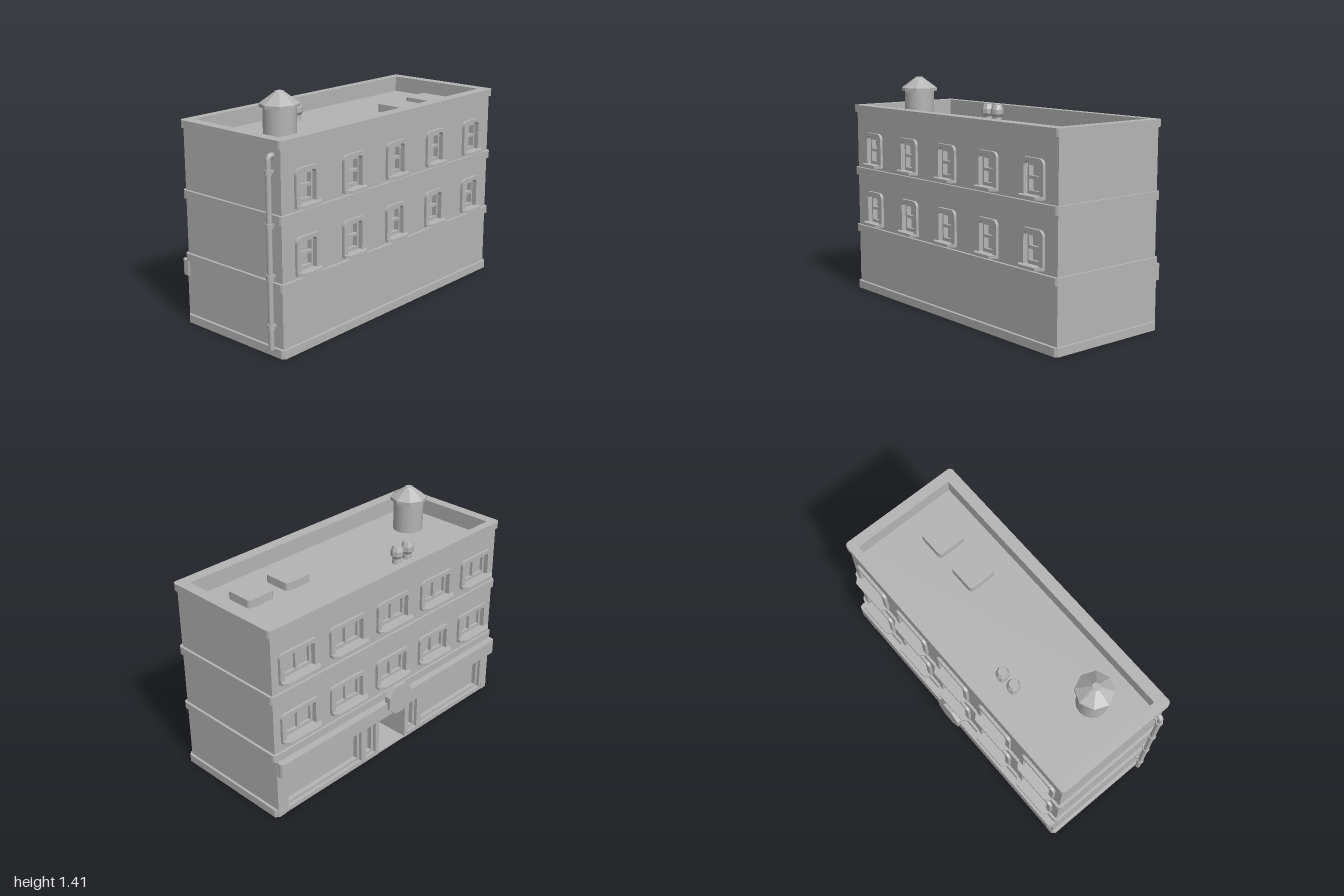
import * as THREE from 'three';

const CX = 0.018;                                   // middle of the building
const BODY = [-0.943, 0.98, -0.374, 0.396];         // x0, x1, z0, z1
const BAND = [-0.96, 0.996, -0.39, 0.415];
const ROOF = [-0.895, 0.928, -0.337, 0.342];
const WINDOW_X = [-0.75, -0.366, 0.018, 0.402, 0.786];
const DOOR = 0.12, ROOF_Y = 1.13;

export function createModel() {
  const model = new THREE.Group();
  const grey = new THREE.MeshStandardMaterial({ color: 0xb4b4b4 });
  grey.name = 'stone grey';
  const facet = grey;

  const add = (name, geo, parent = model) => {
    const m = new THREE.Mesh(geo, facet);
    m.name = name;
    parent.add(m);
    return m;
  };
  const flat = g => { const f = g.toNonIndexed(); f.computeVertexNormals(); return f; };
  const box = (name, x0, x1, y0, y1, z0, z1, parent) =>
    add(name, new THREE.BoxGeometry(x1 - x0, y1 - y0, z1 - z0)
      .translate((x0 + x1) / 2, (y0 + y1) / 2, (z0 + z1) / 2), parent);
  const poly = pts => new THREE.Shape(pts.map(p => new THREE.Vector2(...p)));
  const rect = (x0, x1, y0, y1) => poly([[x0, y0], [x1, y0], [x1, y1], [x0, y1]]);
  // rectangle with separate radii for the bottom and top corners
  const rounded = (x0, x1, y0, y1, rt, rb = rt) => {
    const s = new THREE.Shape(), h = Math.PI / 2;
    s.absarc(x0 + rb, y0 + rb, rb, 2 * h, 3 * h);
    s.absarc(x1 - rb, y0 + rb, rb, 3 * h, 4 * h);
    s.absarc(x1 - rt, y1 - rt, rt, 0, h);
    s.absarc(x0 + rt, y1 - rt, rt, h, 2 * h);
    s.closePath();
    return s;
  };
  const cut = (shape, ...holes) => { shape.holes.push(...holes); return shape; };
  const upright = (shape, z0, z1) =>
    new THREE.ExtrudeGeometry(shape, { depth: z1 - z0, bevelEnabled: false, curveSegments: 5 }).translate(0, 0, z0);
  // floor-plan shapes use (x, -z)
  const plan = (shape, y0, y1) =>
    new THREE.ExtrudeGeometry(shape, { depth: y1 - y0, bevelEnabled: false, curveSegments: 5 })
      .rotateX(-Math.PI / 2).translate(0, y0, 0);
  const planRect = ([x0, x1, z0, z1], r = 0) =>
    r ? rounded(x0, x1, -z1, -z0, r) : rect(x0, x1, -z1, -z0);

  // Ground storey with the deep open doorway
  const [bx0, bx1, , bz1] = BODY, [, , rz0, rz1] = ROOF;
  add('groundStorey', plan(poly([
    [bx0, -rz1], [bx1, -rz1], [bx1, -rz0], [CX + DOOR, -rz0], [CX + DOOR, -0.28],
    [CX - DOOR, -0.28], [CX - DOOR, -rz0], [bx0, -rz0]]), 0, 0.29));
  box('doorwayFloor', CX - DOOR, CX + DOOR, 0, 0.012, -0.385, 0.28);
  box('upperStoreys', bx0, bx1, 0.29, ROOF_Y, rz0, rz1);

  // Outer walls pierced by the window openings
  const front = { w: 0.187, top: 0.218, ow: 0.123, o0: 0.012, o1: 0.195, r: 0.035, out: 0.052,
    panes: [[-0.05, 0.05, 0.033, 0.097], [-0.05, 0.05, 0.115, 0.172]] };
  const back = { w: 0.288, top: 0.183, ow: 0.225, o0: 0.012, o1: 0.158, r: 0.03, out: 0.058,
    panes: [[-0.095, -0.008, 0.032, 0.14], [0.008, 0.095, 0.032, 0.14]] };
  const opening = (t, x, y) => rounded(x - t.ow / 2, x + t.ow / 2, y + t.o0, y + t.o1, t.r * 0.6, 0.004);
  const openings = (t, ys) => ys.flatMap(y => WINDOW_X.map(x => opening(t, x, y)));
  const frontY = [0.455, 0.84], backY = [0.492, 0.877];
  add('frontWall', upright(cut(rect(bx0, bx1, 0, ROOF_Y), ...openings(front, frontY)), rz1, bz1));
  add('backWall', upright(cut(rect(bx0, bx1, 0.29, ROOF_Y), ...openings(back, backY)), BODY[2], rz0));

  // Window: frame, sash and sill, with the wall face at local z = 0
  const makeWindow = (name, t, x, y, z, turn) => {
    const g = new THREE.Group();
    g.name = name;
    const h = t.w / 2, c = 0.028;
    add('frame', upright(cut(rounded(-h, h, 0, t.top, t.r, 0.004), opening(t, 0, 0)), -0.002, 0.018), g);
    add('sash', upright(cut(opening(t, 0, 0), ...t.panes.map(p => rect(...p))), -0.03, -0.012), g);
    add('sill', plan(poly([[-h, 0], [-h, -t.out + c], [-h + c, -t.out], [h - c, -t.out], [h, -t.out + c], [h, 0]]),
      -0.002, 0.016), g);
    g.position.set(x, y, z);
    g.rotation.y = turn;
    model.add(g);
  };
  for (const x of WINDOW_X) {
    frontY.forEach(y => makeWindow('frontWindow', front, x, y, bz1, 0));
    backY.forEach(y => makeWindow('backWindow', back, x, y, BODY[2], Math.PI));
  }

  // String courses and parapet
  for (const [y0, y1] of [[0.39, 0.435], [0.77, 0.82]])
    add('stringCourse', plan(planRect(BAND, 0.025), y0, y1));
  add('parapet', plan(cut(planRect(BODY), planRect(ROOF)), ROOF_Y - 0.002, 1.19));
  add('cornice', plan(cut(planRect(BAND, 0.025), planRect(ROOF)), 1.185, 1.23));

  // Base course, left open along the shopfront
  const [ax0, ax1, az0, az1] = BAND, c = 0.02;
  add('baseCourse', plan(poly([
    [ax0, -az1 + c], [ax0 + c, -az1], [ax1 - c, -az1], [ax1, -az1 + c], [ax1, -az0 - c], [ax1 - c, -az0],
    [0.926, -az0], [0.926, 0.3], [CX + DOOR, 0.3], [CX + DOOR, -0.28], [CX - DOOR, -0.28], [CX - DOOR, 0.3],
    [-0.89, 0.3], [-0.89, -az0], [ax0 + c, -az0], [ax0, -az0 - c]]), 0, 0.05));

  // Shopfront: door gap, two narrow side lights, two display windows
  const bays = [[0.15, 0.235], [0.275, 0.885]].flatMap(([a, b]) => [[CX + a, CX + b], [CX - b, CX - a]]);
  add('shopfront', upright(cut(poly([
    [bx0, 0], [CX - DOOR, 0], [CX - DOOR, 0.28], [CX + DOOR, 0.28], [CX + DOOR, 0], [bx1, 0], [bx1, 0.395], [bx0, 0.395]]),
    ...bays.map(([a, b]) => rect(a, b, 0.03, 0.28))), -0.387, rz0));
  for (const [a, b] of bays)
    add('shopWindowFrame', upright(cut(rect(a, b, 0.03, 0.28), rect(a + 0.018, b - 0.018, 0.048, 0.255)), -0.366, rz0));
  add('fascia', plan(planRect([-0.95, 0.977, -0.432, -0.36], 0.025), 0.29, 0.385));
  const sign = new THREE.CylinderGeometry(0.104, 0.104, 0.04, 8).rotateY(Math.PI / 8).rotateX(Math.PI / 2);
  add('roundSign', flat(sign.translate(CX, 0.385, -0.43)));

  // Drainpipe with brackets
  const px = -0.977, pz = 0.337, v = (x, y) => new THREE.Vector3(x, y, pz);
  const path = new THREE.CurvePath();
  path.add(new THREE.LineCurve3(v(px, 0.05), v(px, 1.12)));
  path.add(new THREE.QuadraticBezierCurve3(v(px, 1.12), v(px, 1.142), v(px + 0.02, 1.142)));
  path.add(new THREE.LineCurve3(v(px + 0.02, 1.142), v(-0.93, 1.142)));
  add('drainpipe', new THREE.TubeGeometry(path, 90, 0.016, 10));
  add('drainpipeEnd', new THREE.CylinderGeometry(0.016, 0.016, 0.01, 10).translate(px, 0.054, pz));
  for (const y of [0.18, 0.47, 0.76, 1.055]) {
    add('pipeCollar', new THREE.CylinderGeometry(0.022, 0.022, 0.028, 10).translate(px, y, pz));
    box('pipeBracket', px, -0.94, y - 0.008, y + 0.008, pz - 0.008, pz + 0.008);
  }

  // Roof tower with faceted cap
  const tower = new THREE.Group();
  tower.name = 'roofTower';
  tower.position.set(-0.652, 0, 0.105);
  model.add(tower);
  add('towerBody', new THREE.CylinderGeometry(0.095, 0.095, 0.21, 16).translate(0, 1.23, 0), tower);
  add('towerRim', flat(new THREE.CylinderGeometry(0.115, 0.115, 0.02, 8).translate(0, 1.335, 0)), tower);
  add('towerCap', flat(new THREE.CylinderGeometry(0.03, 0.115, 0.062, 8).translate(0, 1.376, 0)), tower);
  add('towerTip', new THREE.CylinderGeometry(0.024, 0.03, 0.008, 8).translate(0, 1.41, 0), tower);

  // Roof vents and skylights
  const ventProfile = [[0.03, 1.125], [0.026, 1.165], [0.04, 1.185], [0.04, 1.215], [0.028, 1.245], [0, 1.245]];
  for (const x of [-0.31, -0.215])
    add('roofVent', flat(new THREE.LatheGeometry(ventProfile.map(p => new THREE.Vector2(...p)), 8).translate(x, 0, -0.19)));
  for (const x of [0.403, 0.69])
    add('skylight', plan(planRect([x - 0.095, x + 0.095, 0.008, 0.196], 0.025), ROOF_Y - 0.01, 1.18));

  return model;
}
